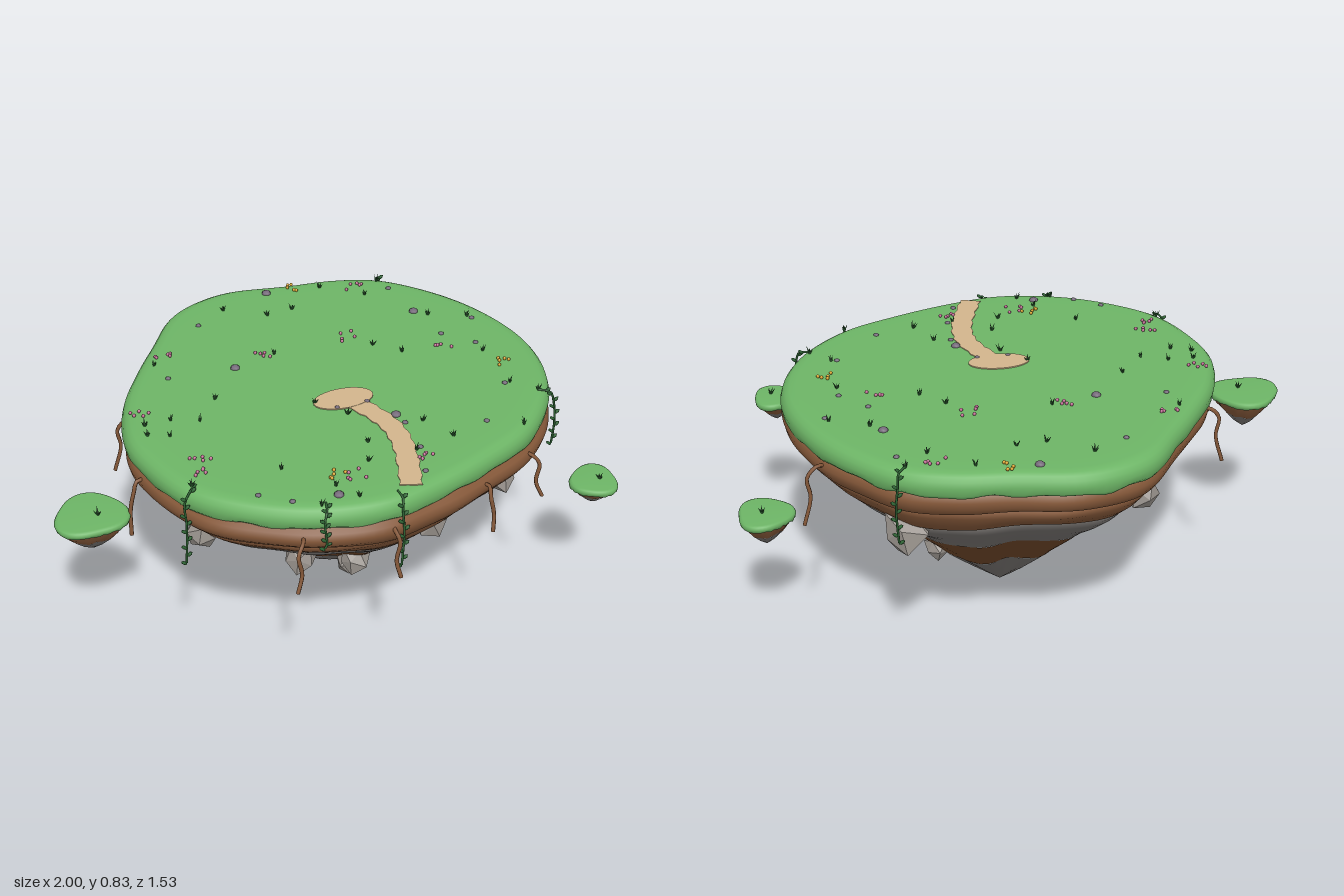
import * as THREE from 'three';
import { mergeGeometries } from 'three/addons/utils/BufferGeometryUtils.js';

const mat = (name, color, side = THREE.FrontSide) => {
  const m = new THREE.MeshStandardMaterial({ color, side });
  m.name = name;
  return m;
};
const V = (x, y, z) => new THREE.Vector3(x, y, z);

// Seeded random numbers
function seeded(seed) {
  return () => {
    seed = (seed * 16807) % 2147483647;
    return seed / 2147483647;
  };
}

// Skin over scaled copies of an outline; rings run bottom to top: [y, scale, waveHeight]
function loft(outline, rings, centre, wave, ridge = 0) {
  const n = outline.length, pos = [], idx = [];
  for (const [y, s, w = 0] of rings) {
    const [cx, cz] = centre(y);
    outline.forEach(([px, pz], i) => {
      const a = (i / n) * Math.PI * 2;
      const k = s * (1 + ridge * (Math.sin(a * 17) * 0.6 + Math.sin(a * 11 + y * 9)));
      pos.push(cx + px * k, y + w * wave(a), cz + pz * k);
    });
  }
  for (let j = 0; j < rings.length - 1; j++) {
    for (let i = 0; i < n; i++) {
      const a = j * n + i, b = j * n + ((i + 1) % n);
      idx.push(a, a + n, b, b, a + n, b + n);
    }
  }
  const g = new THREE.BufferGeometry();
  g.setAttribute('position', new THREE.Float32BufferAttribute(pos, 3));
  g.setIndex(idx);
  g.computeVertexNormals();
  return g;
}

export function createModel() {
  const root = new THREE.Group();
  root.name = 'floatingIsland';
  const M = {
    grass: mat('grass green', 0x6db566),
    soil: mat('soil brown', 0x855839),
    deep: mat('deep soil brown', 0x704729),
    stone: mat('stone grey', 0x787471),
    rock: mat('boulder grey', 0x98928c),
    path: mat('sand path', 0xd2b58c),
    vine: mat('dark leaf green', 0x2c6132),
    pink: mat('pink petals', 0xc9739c),
    yellow: mat('yellow petals', 0xe0aa35),
    pebble: mat('pebble mauve', 0x75697a),
  };
  const add = (name, geo, material, parent = root) => {
    const m = new THREE.Mesh(geo, material);
    m.name = name;
    parent.add(m);
    return m;
  };
  const rnd = seeded(4711);

  // Main island outline, as offsets from its centre
  const C = [0.05, -0.01];
  const rim = [[-0.09, -0.75], [0.135, -0.715], [0.32, -0.69], [0.48, -0.63], [0.64, -0.47], [0.75, -0.28],
    [0.81, -0.05], [0.795, 0.14], [0.72, 0.32], [0.56, 0.495], [0.375, 0.59], [0.16, 0.67], [-0.05, 0.715],
    [-0.29, 0.67], [-0.48, 0.565], [-0.62, 0.425], [-0.70, 0.215], [-0.72, 0.055], [-0.665, -0.16],
    [-0.56, -0.345], [-0.46, -0.49], [-0.345, -0.65], [-0.23, -0.72]];
  const curve = new THREE.CatmullRomCurve3(rim.map(([x, z]) => V(x - C[0], 0, z - C[1])), true);
  const outline = curve.getSpacedPoints(144).slice(0, 144).map((p) => [p.x, p.z]);

  // Layers of the island; the body leans toward its tip
  const drift = (y) => [0.065 - 0.015 * (y / 0.7), -0.03 + 0.04 * (y / 0.7)];
  const wave = (a) => Math.sin(a * 5 + 1) * 0.5 + Math.sin(a * 9) * 0.3 + Math.sin(a * 3 + 2) * 0.4;
  const drips = (a) => Math.sin(a * 19) * 0.5 + Math.sin(a * 31 + 2) * 0.4 + Math.sin(a * 7) * 0.3;
  add('grassCap', loft(outline, [[0.735, 0.9], [0.722, 0.96, 0.008], [0.723, 0.985, 0.008], [0.735, 0.998, 0.005],
    [0.76, 1.003], [0.78, 0.995], [0.794, 0.98], [0.802, 0.96], [0.805, 0.93], [0.805, 0.85], [0.805, 0]],
  () => C, drips), M.grass);
  add('upperSoil', loft(outline, [[0.636, 0.88, 0.006], [0.637, 0.93, 0.006], [0.648, 0.968, 0.006], [0.67, 0.99],
    [0.695, 0.998], [0.715, 0.985], [0.735, 0.95]], drift, wave, 0.003), M.soil);
  add('lowerSoil', loft(outline, [[0.525, 0.79, 0.012], [0.54, 0.83, 0.012], [0.57, 0.875, 0.008], [0.605, 0.915],
    [0.63, 0.925], [0.65, 0.9]], drift, wave, 0.004), M.soil);
  add('stoneBand', loft(outline, [[0.37, 0.565, 0.014], [0.40, 0.61, 0.01], [0.45, 0.70, 0.01], [0.495, 0.77, 0.01],
    [0.52, 0.8, 0.012], [0.535, 0.8, 0.012]], drift, wave, 0.008), M.stone);
  add('deepSoil', loft(outline, [[0.21, 0.335, 0.014], [0.25, 0.39, 0.014], [0.31, 0.48, 0.014], [0.37, 0.565, 0.014]],
    drift, wave, 0.011), M.deep);
  add('stoneTip', loft(outline, [[0, 0], [0.05, 0.085], [0.1, 0.167], [0.16, 0.26, 0.008], [0.21, 0.335, 0.014]],
    drift, wave, 0.018), M.stone);

  // Small satellite islands: x, z, radius, top, tip, corner direction
  for (const [x, z, r, top, tip, turn] of [[-0.88, 0.15, 0.122, 0.597, 0.45, -Math.PI / 2],
    [0.9, -0.24, 0.1, 0.485, 0.36, Math.PI], [0.812, 0.52, 0.086, 0.545, 0.445, Math.PI]]) {
    const isle = new THREE.Group();
    isle.name = 'smallIsland';
    root.add(isle);
    const shape = Array.from({ length: 48 }, (_, i) => {
      const a = (i / 48) * Math.PI * 2;
      const k = r * (1 + 0.08 * Math.cos(3 * (a - turn)) + 0.04 * Math.sin(2 * a + x * 5));
      return [k * Math.cos(a), k * Math.sin(a)];
    });
    const h = top - tip, at = () => [x, z];
    add('smallGrass', loft(shape, [[top - 0.025, 0.85], [top - 0.024, 0.97, 0.004], [top - 0.012, 1], [top - 0.004, 0.96],
      [top, 0.88], [top, 0]], at, drips), M.grass, isle);
    add('smallSoil', loft(shape, [[tip + h * 0.44, 0.56, 0.004], [tip + h * 0.65, 0.77], [top - 0.02, 0.9]],
      at, wave, 0.02), M.soil, isle);
    add('smallStone', loft(shape, [[tip, 0], [tip + h * 0.2, 0.3], [tip + h * 0.44, 0.56, 0.004]], at, wave, 0.03), M.stone, isle);
  }

  // Faceted boulders stuck in the sides
  [[0.48, 0.595, 0.455, 0.056], [0.22, 0.48, 0.46, 0.06], [-0.22, 0.38, 0.37, 0.058], [0, 0.28, 0.32, 0.055],
    [0, 0.225, 0.27, 0.045], [0.42, 0.315, 0.1, 0.068], [0.3, 0.2, -0.1, 0.047], [-0.54, 0.53, 0.3, 0.058],
    [0.45, 0.495, -0.46, 0.082], [-0.4, 0.45, -0.28, 0.062]].forEach(([x, y, z, r], n) => {
    const g = new THREE.IcosahedronGeometry(r, 0), p = g.attributes.position;
    for (let i = 0; i < p.count; i++) {
      const v = V().fromBufferAttribute(p, i);
      v.multiplyScalar(1 + 0.15 * Math.sin(Math.round((v.x * 3 + v.y * 5 + v.z * 7) / r * 10) + n * 2));
      p.setXYZ(i, v.x, v.y, v.z);
    }
    g.rotateY(n * 1.3).rotateX(n * 0.7);
    g.computeVertexNormals();
    add('boulder', g, M.rock).position.set(x, y, z);
  });

  // Tube running down the edge at (x, z); steps are [outward scale, y]
  const hang = (x, z, steps, r, sway) => {
    const pts = steps.map(([k, y], i) => V(C[0] + (x - C[0]) * k + sway * (i % 2), y, C[1] + (z - C[1]) * k));
    const c = new THREE.CatmullRomCurve3(pts);
    return [c, new THREE.TubeGeometry(c, 16, r, 6)];
  };

  // Hanging roots
  [[0.735, -0.36], [-0.66, -0.18], [-0.71, 0.18], [-0.34, 0.69], [-0.02, 0.73], [0.34, 0.625], [0.57, 0.51]].forEach(([x, z], i) => {
    const end = i < 3 ? 0.5 : 0.54;
    add('hangingRoot', hang(x, z, [[0.93, 0.69], [1.0, 0.705], [1.035, 0.67], [1.04, 0.6], [1.06, end]],
      0.007, i % 2 ? 0.012 : -0.012)[1], M.soil);
  });

  // Leafy vines
  for (const [x, z, end] of [[-0.62, 0.425, 0.53], [-0.25, 0.68, 0.67], [0, 0.705, 0.55], [0.72, 0.32, 0.59], [0.48, -0.63, 0.56]]) {
    const [c, tube] = hang(x, z, [[0.95, 0.808], [1.0, 0.8], [1.025, 0.765], [1.03, 0.68], [1.03, end]], 0.004, 0.006);
    const parts = [tube];
    for (let i = 1; i <= 10; i++) {
      const p = c.getPointAt(i / 10);
      parts.push(new THREE.SphereGeometry(0.012, 6, 4).scale(1, 0.45, 0.7).rotateZ(i % 2 ? 0.6 : -0.6)
        .translate(p.x + (i % 2 ? 0.009 : -0.009), p.y, p.z));
    }
    add('vine', mergeGeometries(parts), M.vine);
  }

  // Sandy path: round clearing and a winding strip
  const line = new THREE.CatmullRomCurve3([V(0.05, 0, 0.12), V(0.1, 0, 0.22), V(0.128, 0, 0.32), V(0.125, 0, 0.42),
    V(0.095, 0, 0.54), V(0.055, 0, 0.655)]);
  const left = [], right = [];
  for (let i = 0; i <= 24; i++) {
    const p = line.getPoint(i / 24), t = line.getTangent(i / 24), w = 0.037 + 0.004 * Math.sin(i * 2.1);
    left.push(new THREE.Vector2(p.x + t.z * w, -(p.z - t.x * w)));
    right.unshift(new THREE.Vector2(p.x - t.z * w, -(p.z + t.x * w)));
  }
  const flat = { depth: 0.004, bevelEnabled: false };
  add('path', new THREE.ExtrudeGeometry(new THREE.Shape([...left, ...right]), flat).rotateX(-Math.PI / 2), M.path).position.y = 0.804;
  add('pathClearing', new THREE.CylinderGeometry(1, 1, 0.005, 28).scale(0.108, 1, 0.06), M.path).position.set(0.04, 0.8065, 0.11);

  // Grass tufts
  const blades = [];
  const tuft = (x, y, z) => {
    for (let i = 0; i < 5; i++) {
      const h = 0.018 + rnd() * 0.014;
      blades.push(new THREE.ConeGeometry(0.0042, h, 4).translate(0, h / 2, 0).rotateZ(0.25 + rnd() * 0.45)
        .rotateY(i * 1.26 + rnd()).translate(x, y, z));
    }
  };
  [[-0.01, -0.51], [0.09, -0.52], [0.38, -0.52], [0.24, -0.63], [-0.15, -0.6], [-0.37, -0.05], [-0.46, 0.06], [-0.65, 0.08],
    [-0.64, 0.02], [-0.58, 0.11], [-0.55, 0.02], [0.35, -0.1], [0.27, -0.18], [-0.08, -0.25], [0.54, -0.3], [0.62, 0],
    [0.24, 0.33], [0.02, 0.38], [-0.02, 0.48], [-0.3, 0.42], [-0.17, 0.57], [-0.12, 0.65], [-0.25, 0.65], [0.3, 0.45],
    [0.15, 0.48], [-0.06, 0.1], [0.02, 0.2], [0.69, 0.3], [0.46, -0.6], [0.55, 0.47], [0.62, 0.22], [-0.6, 0.4],
    [-0.5, -0.33], [0.67, -0.24]].forEach(([x, z]) => tuft(x, 0.803, z));
  tuft(-0.86, 0.596, 0.17);
  tuft(0.91, 0.484, -0.25);
  tuft(0.83, 0.544, 0.53);
  add('grassTufts', mergeGeometries(blades), M.vine);

  // Flower clusters
  const flowers = (name, spots, material) => {
    const heads = [];
    for (const [x, z] of spots) {
      for (let i = 0; i < 5; i++) {
        heads.push(new THREE.SphereGeometry(0.0065, 6, 4)
          .translate(x + (rnd() - 0.5) * 0.07, 0.811, z + (rnd() - 0.5) * 0.06));
      }
    }
    add(name, mergeGeometries(heads), material);
  };
  flowers('pinkFlowers', [[-0.45, -0.37], [-0.12, -0.25], [0.2, -0.26], [0.36, -0.59], [-0.64, -0.05], [0.5, -0.07],
    [-0.56, 0.36], [-0.53, 0.28], [-0.09, 0.54], [0.17, 0.54]], M.pink);
  flowers('yellowFlowers', [[0.13, -0.66], [0.65, 0.1], [-0.14, 0.51]], M.yellow);

  // Pebbles, a few large and many small
  const pebbles = [[0.04, -0.66], [-0.24, -0.21], [0.5, -0.34], [0.17, 0.265], [-0.18, 0.62], [-0.27, -0.53], [0.48, -0.53],
    [0.53, -0.16], [-0.48, -0.23], [0.68, -0.22], [0.62, -0.06], [0.18, 0.32], [0.44, 0.41], [-0.42, 0.53], [-0.33, 0.6],
    [0.11, 0.155], [0, 0.155], [0.6, 0.22], [0.13, 0.6], [0.17, 0.47]].map(([x, z], i) => {
    const r = i < 5 ? 0.017 : 0.01;
    return new THREE.SphereGeometry(r, 8, 6).scale(1, 0.7, 1).translate(x, 0.806, z);
  });
  add('pebbles', mergeGeometries(pebbles), M.pebble);

  return root;
}
